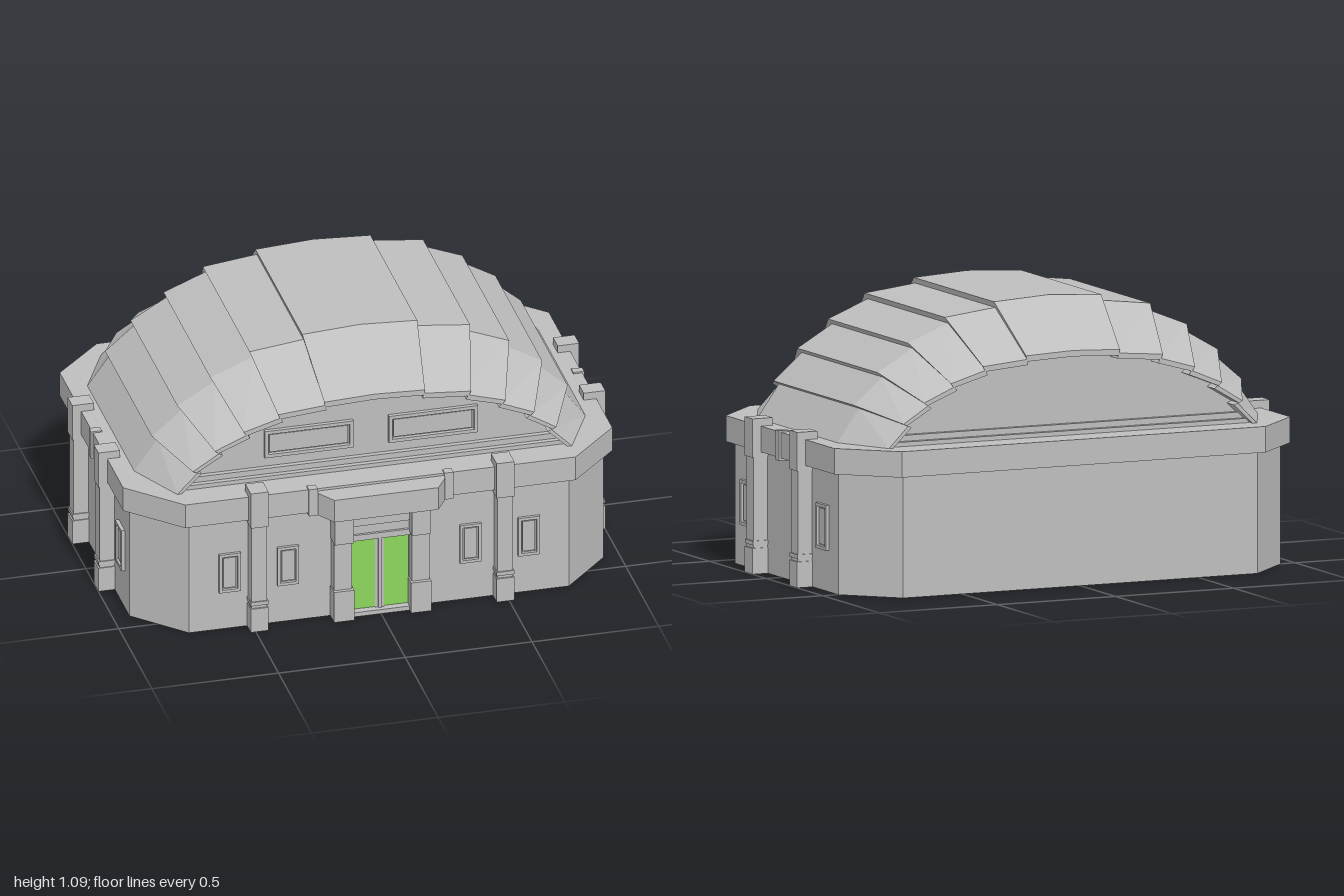
import * as THREE from 'three';

export function createModel() {
  const model = new THREE.Group();
  const concrete = new THREE.MeshStandardMaterial({ color: 0xbebebe, flatShading: true, side: THREE.DoubleSide });
  concrete.name = 'concrete grey';
  const green = new THREE.MeshStandardMaterial({ color: 0x8cd65c, flatShading: true });
  green.name = 'door green';

  const add = (name, geometry, parent = model, material = concrete) => {
    const mesh = new THREE.Mesh(geometry, material);
    mesh.name = name;
    parent.add(mesh);
    return mesh;
  };
  // Box given by its limits on each axis
  const box = (name, [x0, x1], [y0, y1], [z0, z1], parent, material) => {
    const g = new THREE.BoxGeometry(x1 - x0, y1 - y0, z1 - z0);
    g.translate((x0 + x1) / 2, (y0 + y1) / 2, (z0 + z1) / 2);
    return add(name, g, parent, material);
  };
  // Horizontal outline of [x, z] points raised from y0 to y1
  const slab = (name, points, y0, y1, parent) => {
    const shape = new THREE.Shape(points.map(([x, z]) => new THREE.Vector2(x, -z)));
    const g = new THREE.ExtrudeGeometry(shape, { depth: y1 - y0, bevelEnabled: false });
    g.rotateX(-Math.PI / 2).translate(0, y0, 0);
    return add(name, g, parent);
  };
  const octagon = (x, xc, zf, zfc, zb, zbc) => [
    [xc, zf], [x, zfc], [x, zbc], [xc, zb], [-xc, zb], [-x, zbc], [-x, zfc], [-xc, zf]];

  // Main walls and the wider band around their top
  slab('walls', octagon(0.935, 0.75, 0.6, 0.41, -0.69, -0.505), 0, 0.475);
  slab('cornice', octagon(0.965, 0.77, 0.625, 0.43, -0.72, -0.53), 0.47, 0.57);

  // Overlapping roof panels: a stepped profile, swept front to back
  const baseY = 0.57;
  const half = [[0, 1.085], [0.227, 1.072], [0.222, 1.05], [0.435, 1.025], [0.422, 1.002], [0.59, 0.935],
    [0.573, 0.915], [0.72, 0.83], [0.7, 0.812], [0.82, 0.71], [0.798, 0.697], [0.89, baseY]];
  const profile = [...half.slice(1).reverse().map(([x, y]) => [-x, y]), ...half];
  // Each station: z, width scale, height scale
  const stations = [[0.47, 0.855, 0.595], [0.535, 0.855, 0.595], [0.535, 0.875, 0.64], [0.31, 1, 1],
    [-0.4, 1, 1], [-0.625, 0.875, 0.64], [-0.625, 0.855, 0.595], [-0.56, 0.855, 0.595]];
  const scaled = (sx, sy) => profile.map(([x, y]) => [x * sx, baseY + (y - baseY) * sy]);
  const rings = stations.map(([z, sx, sy]) => scaled(sx, sy).map(([x, y]) => [x, y, z]));
  const verts = [];
  for (let j = 0; j < rings.length - 1; j++) {
    for (let i = 0; i < profile.length - 1; i++) {
      const a = rings[j][i], b = rings[j][i + 1], c = rings[j + 1][i + 1], d = rings[j + 1][i];
      verts.push(...a, ...b, ...c, ...a, ...c, ...d);
    }
  }
  const roof = new THREE.BufferGeometry();
  roof.setAttribute('position', new THREE.Float32BufferAttribute(verts, 3));
  roof.computeVertexNormals();
  add('roofPanels', roof);

  // Recessed gable walls with stepped sills
  const gable = new THREE.Shape(scaled(0.855, 0.595).map(([x, y]) => new THREE.Vector2(x, y)));
  const gableGeometry = new THREE.ExtrudeGeometry(gable, { depth: 1.03, bevelEnabled: false });
  add('gables', gableGeometry.translate(0, 0, -0.56));
  for (const [name, z, s] of [['front', 0.47, 1], ['back', -0.56, -1]]) {
    const range = (d) => (s > 0 ? [z, z + d] : [z - d, z]);
    box(name + 'GableSill', [-0.74, 0.74], [0.57, 0.61], range(0.02));
    box(name + 'GableStep', [-0.755, 0.755], [0.57, 0.587], range(0.04));
  }

  // Raised window: frame with a hole and a pane, facing +z
  const windowUnit = (name, w, h, border, depth) => {
    const group = new THREE.Group();
    group.name = name;
    const rect = (path, a, b) => path.moveTo(-a, -b).lineTo(a, -b).lineTo(a, b).lineTo(-a, b).closePath();
    const frame = rect(new THREE.Shape(), w / 2, h / 2);
    frame.holes.push(rect(new THREE.Path(), w / 2 - border, h / 2 - border));
    add('windowFrame', new THREE.ExtrudeGeometry(frame, { depth, bevelEnabled: false }), group);
    const pw = w / 2 - border - 0.006, ph = h / 2 - border - 0.006;
    box('windowPane', [-pw, pw], [-ph, ph], [0, depth * 0.5], group);
    model.add(group);
    return group;
  };

  // Pilaster with plinth, ring, shaft and cap, facing +z
  const pilaster = (name) => {
    const group = new THREE.Group();
    group.name = name;
    box('plinth', [-0.035, 0.035], [0, 0.1], [-0.07, 0.015], group);
    box('ring', [-0.031, 0.031], [0.1, 0.112], [-0.07, 0.009], group);
    box('collar', [-0.035, 0.035], [0.112, 0.128], [-0.07, 0.014], group);
    box('shaft', [-0.031, 0.031], [0.128, 0.45], [-0.07, 0.009], group);
    box('cap', [-0.035, 0.035], [0.45, 0.6], [-0.07, 0.015], group);
    model.add(group);
    return group;
  };

  for (const s of [-1, 1]) {
    const side = s > 0 ? 'left' : 'right';
    const turn = s * Math.PI / 2;
    // Front face
    pilaster(side + 'FrontPilaster').position.set(s * 0.485, 0, 0.642);
    for (const x of [0.36, 0.59]) {
      windowUnit(side + 'FrontWindow', 0.085, 0.165, 0.012, 0.012).position.set(s * x, 0.243, 0.6);
    }
    windowUnit(side + 'GableWindow', 0.35, 0.115, 0.014, 0.016).position.set(s * 0.245, 0.71, 0.47);
    // Side faces
    for (const z of [0.155, -0.24]) {
      const p = pilaster(side + 'SidePilaster');
      p.position.set(s * 0.985, 0, z);
      p.rotation.y = turn;
    }
    for (const z of [0.295, -0.375]) {
      const w = windowUnit(side + 'SideWindow', 0.092, 0.175, 0.012, 0.014);
      w.position.set(s * 0.935, 0.247, z);
      w.rotation.y = turn;
    }
    box(side + 'CorniceClip', s > 0 ? [0.93, 0.973] : [-0.973, -0.93], [0.46, 0.576], [-0.057, -0.025]);

    // Door jambs with a heavier foot and a mid bracket
    const span = (a, b) => (s > 0 ? [a, b] : [-b, -a]);
    box(side + 'Jamb', span(0.118, 0.188), [0, 0.47], [0.59, 0.645]);
    box(side + 'JambFoot', span(0.112, 0.192), [0, 0.13], [0.59, 0.66]);
    box(side + 'JambBracket', span(0.115, 0.19), [0.335, 0.47], [0.59, 0.662]);
    box(side + 'CanopyClip', span(0.25, 0.285), [0.46, 0.575], [0.6, 0.635]);

    // Door leaf
    box(side + 'DoorLeaf', span(0.018, 0.114), [0.02, 0.318], [0.6, 0.609], model, green);
  }

  // Doorway trim
  box('doorSill', [-0.115, 0.115], [0, 0.018], [0.59, 0.635]);
  box('doorMullion', [-0.018, 0.018], [0.018, 0.32], [0.59, 0.612]);
  box('doorSeam', [-0.006, 0.006], [0.018, 0.32], [0.59, 0.618]);
  box('doorLintel', [-0.118, 0.118], [0.32, 0.345], [0.59, 0.622]);
  box('transom', [-0.118, 0.118], [0.345, 0.38], [0.59, 0.612]);
  box('transomBeam', [-0.118, 0.118], [0.385, 0.47], [0.59, 0.625]);

  // Tapered canopy over the entrance
  slab('canopy', [[-0.25, 0.6], [-0.25, 0.645], [-0.205, 0.715], [0.205, 0.715], [0.25, 0.645], [0.25, 0.6]], 0.465, 0.56);

  return model;
}
